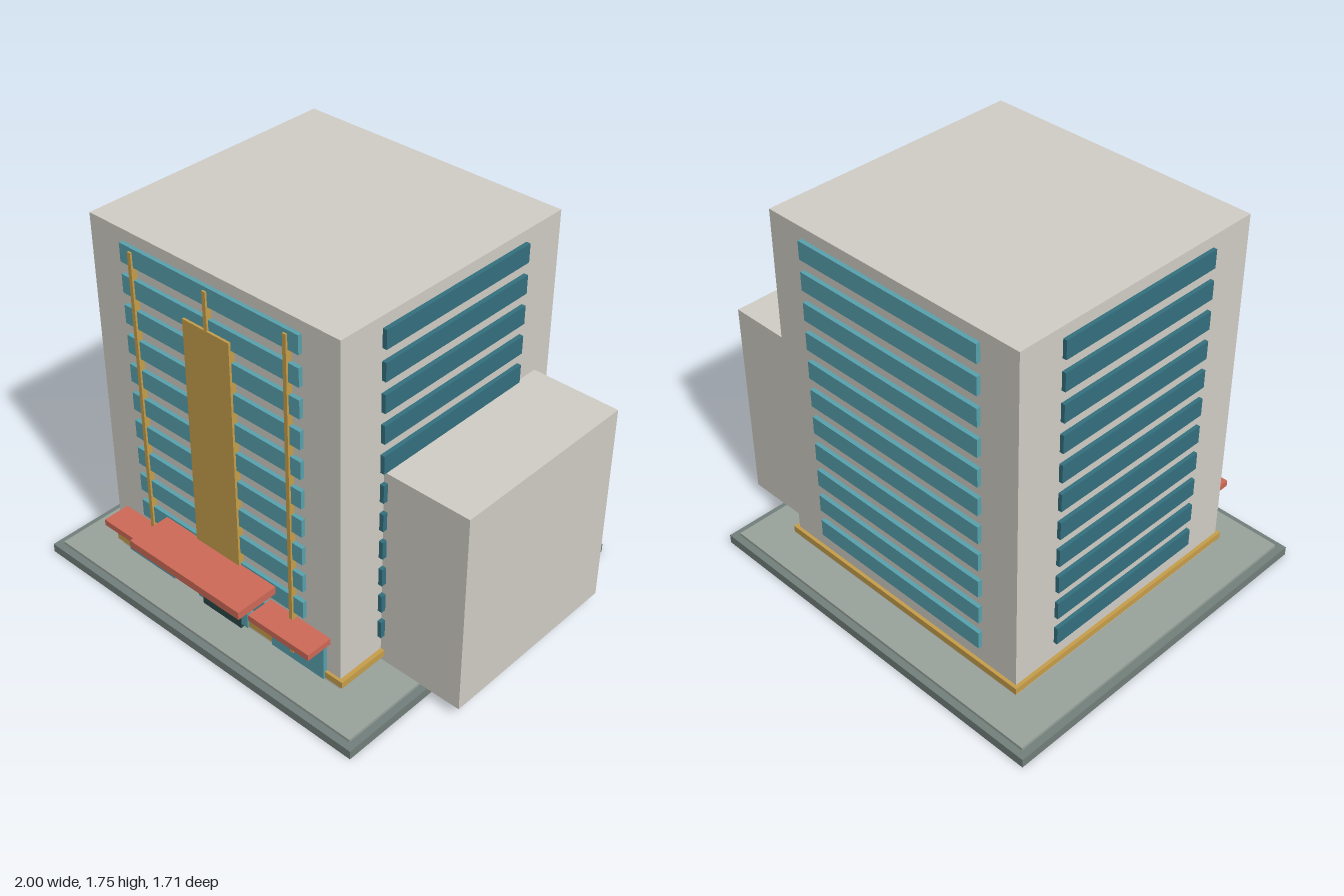
import * as THREE from 'three';

const mat = (color) => new THREE.MeshStandardMaterial({ color });

export function createModel() {
  const model = new THREE.Group();
  const wall = mat(0xd1cec6), stone = mat(0x73807c), paving = mat(0x9aa39d);
  const gold = mat(0xc79f4b), glass = mat(0x58a2ae), darkGlass = mat(0x34707f);
  const red = mat(0xcf6a57), doorMat = mat(0x284846);

  // Box given by its extents along each axis
  function block(name, material, [x0, x1], [y0, y1], [z0, z1], parent = model) {
    const mesh = new THREE.Mesh(new THREE.BoxGeometry(x1 - x0, y1 - y0, z1 - z0), material);
    mesh.position.set((x0 + x1) / 2, (y0 + y1) / 2, (z0 + z1) / 2);
    mesh.name = name;
    parent.add(mesh);
    return mesh;
  }

  // Stepped base
  block('baseSlab', stone, [-1, 0.825], [0, 0.043], [-0.855, 0.838]);
  block('paving', paving, [-0.965, 0.79], [0.043, 0.057], [-0.823, 0.804]);

  // Main tower, side annex and plinth band
  block('tower', wall, [-0.76, 0.58], [0.057, 1.755], [-0.645, 0.627]);
  block('annex', wall, [0.578, 1], [0.055, 1.04], [-0.553, 0.384]);
  block('plinthBand', gold, [-0.776, 0.6], [0.085, 0.117], [-0.661, 0.641]);

  // Window bands on all four sides
  const windows = new THREE.Group();
  windows.name = 'windowBands';
  model.add(windows);
  for (let i = 0; i < 11; i++) {
    const y = 0.2 + i * 0.1417;
    const h = [y, y + 0.085];
    block('frontWindow', glass, [-0.57, 0.392], h, [0.62, 0.646], windows);
    block('backWindow', glass, [-0.57, 0.392], h, [-0.665, -0.64], windows);
    block('leftWindow', darkGlass, [0.57, 0.6], h, [-0.427, 0.407], windows);
    block('rightWindow', darkGlass, [-0.778, -0.75], h, [-0.427, 0.407], windows);
  }

  // Front panel and vertical rods
  block('frontPanel', gold, [-0.215, 0.038], [0.19, 1.513], [0.625, 0.657]);
  for (const x of [-0.506, -0.089, 0.329]) {
    block('rod', gold, [x - 0.009, x + 0.009], [0.12, 1.685], [0.625, 0.655]);
  }

  // Ground-floor glazing and door
  for (const span of [[-0.685, -0.39], [0.21, 0.505], [-0.235, 0.065]]) {
    block('entranceGlazing', glass, span, [0.08, 0.284], [0.62, 0.649]);
  }
  block('door', doorMat, [-0.205, 0.027], [0.055, 0.19], [0.62, 0.652]);

  // Canopies
  block('mainCanopy', red, [-0.412, 0.237], [0.38, 0.418], [0.62, 0.856]);
  block('mainCanopySoffit', red, [-0.324, 0.146], [0.358, 0.38], [0.62, 0.802]);
  for (const span of [[-0.705, -0.367], [0.187, 0.525]]) {
    block('sideCanopy', red, span, [0.275, 0.305], [0.62, 0.757]);
  }
  block('doorCanopy', gold, [-0.258, 0.083], [0.275, 0.305], [0.62, 0.73]);

  return model;
}
